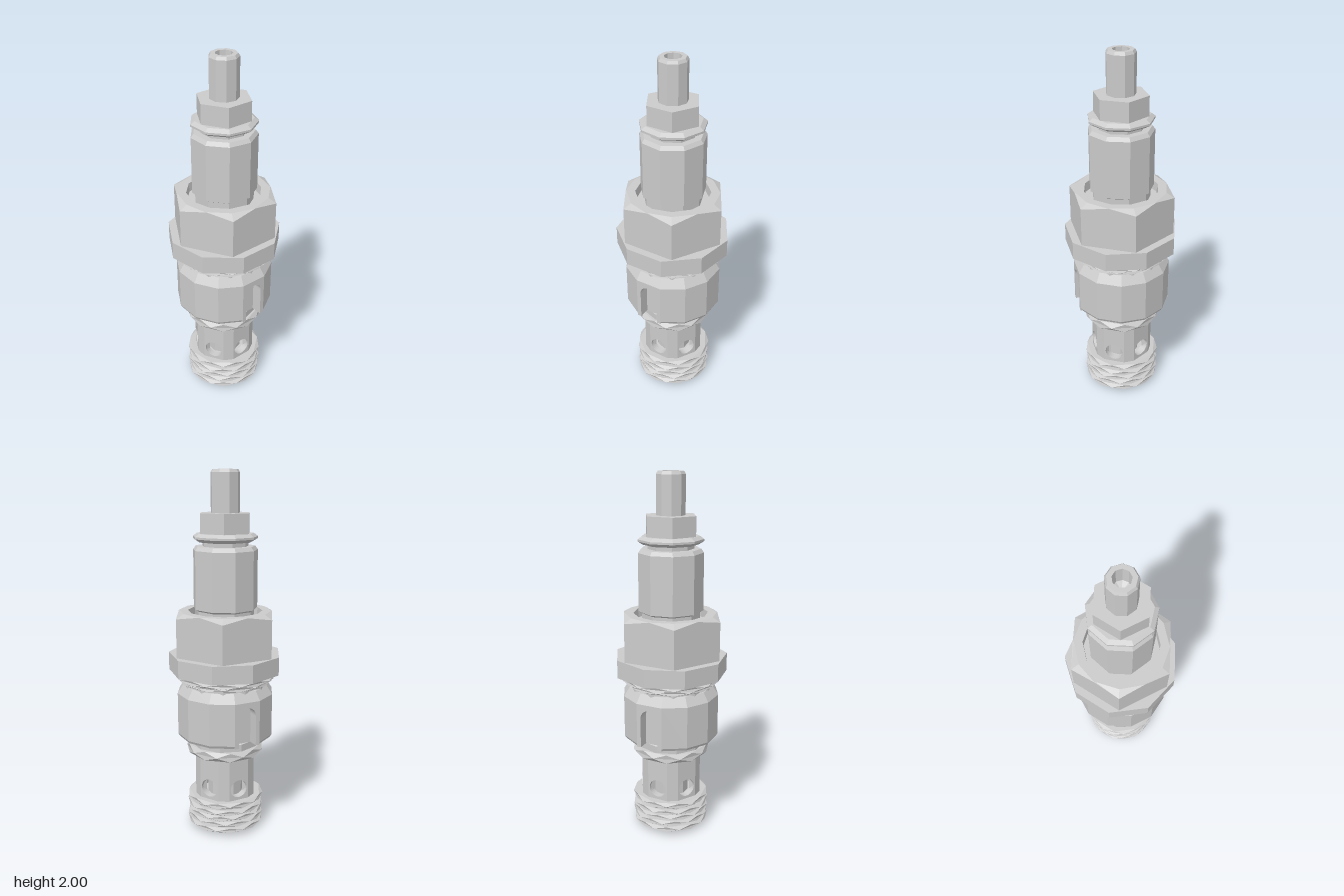
import * as THREE from 'three';

const rad = THREE.MathUtils.degToRad;
const material = new THREE.MeshStandardMaterial({ color: 0xcccccc, flatShading: true, side: THREE.DoubleSide });

// Faceted turned part; profile is [radius, y] from bottom to top, angles in degrees from +z
function turned(profile, sides, start = 0, sweep = 360) {
  const pts = profile.map(([r, y]) => new THREE.Vector2(r, y));
  return new THREE.LatheGeometry(pts, sides, rad(start), rad(sweep));
}

// Ring whose rim zigzags: each level is turned half a facet against the next
function zigzagRing(r, inner, y0, y1, sides) {
  const ym = (y0 + y1) / 2;
  const geo = turned([[inner, y0], [r * 0.96, y0], [r, ym], [r * 0.96, y1], [inner, y1]], sides);
  const p = geo.attributes.position;
  const v = new THREE.Vector3();
  const up = new THREE.Vector3(0, 1, 0);
  for (let i = 0; i < p.count; i++) {
    v.fromBufferAttribute(p, i);
    v.applyAxisAngle(up, ((v.y - y0) / (y1 - y0)) * (2 * Math.PI / sides));
    p.setXYZ(i, v.x, v.y, v.z);
  }
  return geo;
}

// Hexagonal block with chamfered corners and a round recess in its top
function hexBlock(R, y0, y1) {
  const geo = turned([[0.1, y0], [R, y0], [R, y1], [0.249, y1], [0.203, y1], [0.2, y1 - 0.05], [0.13, y1 - 0.05]], 12);
  const p = geo.attributes.position;
  for (let i = 0; i < p.count; i++) {
    const row = i % 7;
    if (row !== 1 && row !== 2) continue;
    const corner = Math.floor(i / 7) % 2 === 1;
    if (!corner) {
      p.setX(i, p.getX(i) * Math.cos(Math.PI / 6));
      p.setZ(i, p.getZ(i) * Math.cos(Math.PI / 6));
    } else if (row === 2) p.setY(i, y1 - 0.025);
  }
  return geo;
}

export function createModel() {
  const model = new THREE.Group();
  model.name = 'cartridgeValve';
  const valve = new THREE.Group();
  valve.name = 'valve';
  valve.position.z = 0.008;
  model.add(valve);

  const add = (name, geo, angle = 0) => {
    const mesh = new THREE.Mesh(geo, material);
    mesh.name = name;
    mesh.rotation.y = rad(angle);
    valve.add(mesh);
    return mesh;
  };

  // Nose with seal rings
  add('nose', turned([[0, 0.012], [0.12, 0.012], [0.125, 0], [0.165, 0], [0.19, 0.025], [0.19, 0.19], [0.1, 0.195]], 10));
  [0.035, 0.072, 0.108, 0.14].forEach((y, i) =>
    add('noseSeal', zigzagRing(0.217, 0.18, y - 0.014, y + 0.014, 9), i * 13));
  add('noseShoulder', zigzagRing(0.217, 0.165, 0.168, 0.198, 9), 20);

  // Ported sleeve: six flat panels with holes, joined by narrow strips
  const sr = 0.175, y0 = 0.18, y1 = 0.47, thick = 0.04;
  const half = sr * Math.sin(rad(20));
  const panel = new THREE.Shape();
  panel.moveTo(-half, y0).lineTo(half, y0).lineTo(half, y1).lineTo(-half, y1).closePath();
  const port = new THREE.Path();
  port.absarc(0, 0.265, 0.051, 0, Math.PI * 2, true);
  panel.holes.push(port);
  const panelGeo = new THREE.ExtrudeGeometry(panel, { depth: thick, bevelEnabled: false, curveSegments: 16 });
  panelGeo.translate(0, 0, sr * Math.cos(rad(20)) - thick);
  const stripGeo = new THREE.BoxGeometry(2 * sr * Math.sin(rad(10)), y1 - y0, thick);
  stripGeo.translate(0, (y0 + y1) / 2, sr * Math.cos(rad(10)) - thick / 2);
  for (let a = 0; a < 360; a += 60) {
    add('sleevePort', panelGeo, a);
    add('sleeveStrip', stripGeo, a + 30);
  }
  add('spool', turned([[0.1, 0.17], [0.1, 0.47]], 10));

  // Middle seal and neck
  add('middleSeal', zigzagRing(0.219, 0.15, 0.45, 0.5, 9));
  add('middleNeck', turned([[0.15, 0.48], [0.195, 0.495], [0.195, 0.54], [0.18, 0.55]], 10));

  // Slotted body: two side shells, with slotted plates at front and back
  const br = 0.27, gap = 16.2;
  const taper = [[br, 0.8], [0.238, 0.85], [0.2, 0.855]];
  const bw = br * Math.sin(rad(gap)), bz = br * Math.cos(rad(gap));
  const plate = new THREE.Shape();
  plate.moveTo(-bw, 0.55).lineTo(-0.052, 0.55).lineTo(-0.052, 0.718);
  plate.absarc(0, 0.718, 0.052, Math.PI, 0, true);
  plate.lineTo(0.052, 0.55).lineTo(bw, 0.55).lineTo(bw, 0.8).lineTo(-bw, 0.8).closePath();
  const plateGeo = new THREE.ExtrudeGeometry(plate, { depth: 0.08, bevelEnabled: false, curveSegments: 10 });
  plateGeo.translate(0, 0, bz - 0.08);
  for (const a of [0, 180]) {
    add('bodyShell', turned([[0.17, 0.55], [0.262, 0.55], [br, 0.565], ...taper], 5, gap, 180 - 2 * gap), a);
    add('bodySlotPlate', plateGeo, a);
    add('bodyTaper', turned(taper, 1, -gap, 2 * gap), a);
  }
  add('bodyCore', turned([[0, 0.55], [0.205, 0.55], [0.205, 0.84]], 12, 15));

  // Seals under the flange
  add('upperNeck', turned([[0.235, 0.84], [0.235, 0.93]], 12));
  add('upperSeal', zigzagRing(0.262, 0.2, 0.862, 0.888, 9), 10);
  add('flangeSeal', zigzagRing(0.283, 0.2, 0.885, 0.912, 9), 30);

  // Flange and hexagonal block
  add('flange', turned([[0.2, 0.92], [0.3135, 0.92], [0.3135, 1.02], [0.2, 1.02]], 9, 180));
  add('hexBlock', hexBlock(0.293, 1.02, 1.257));

  // Adjuster housing, washer, lock nut
  add('adjusterHousing', turned([[0.16, 1.2], [0.16, 1.262], [0.177, 1.272], [0.177, 1.585], [0.162, 1.605], [0.1, 1.605]], 9, 90));
  add('adjusterNeck', turned([[0.125, 1.6], [0.125, 1.64]], 9, 90));
  add('washer', turned([[0.1, 1.628], [0.15, 1.628], [0.177, 1.645], [0.177, 1.656], [0.155, 1.672], [0.1, 1.672]], 9, 90));
  add('lockNut', turned([[0.1, 1.665], [0.147, 1.665], [0.147, 1.778], [0.06, 1.778]], 6, 30));

  // Adjusting screw with a drive socket
  add('adjustingScrew', turned([[0.078, 1.77], [0.078, 1.985], [0.069, 2], [0.045, 2], [0.043, 1.9], [0, 1.87]], 9, 90));

  return model;
}
